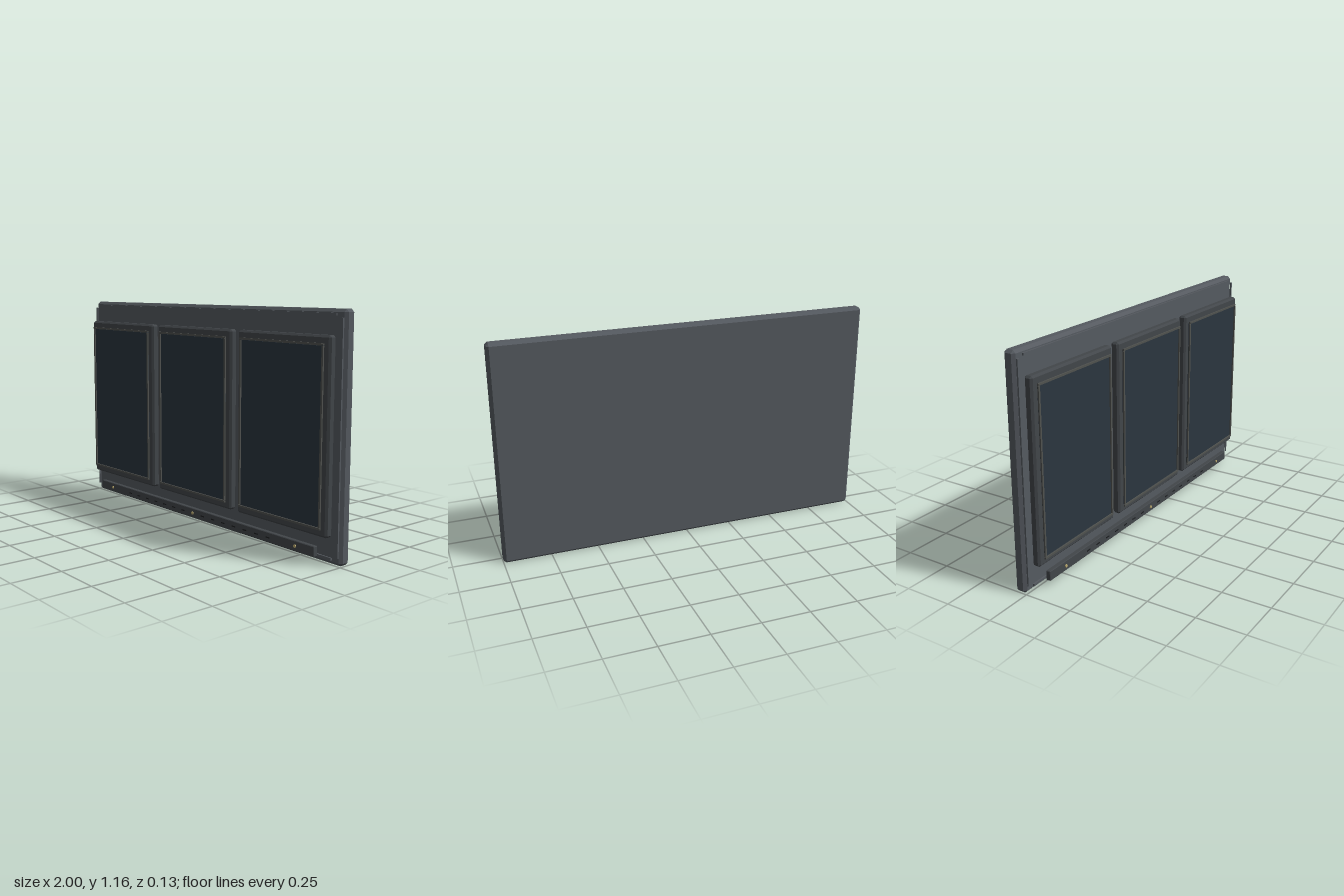
import * as THREE from 'three';
import { ConvexGeometry } from 'three/addons/geometries/ConvexGeometry.js';

const mat = (color) => new THREE.MeshStandardMaterial({ color });
const panelMat = mat(0x555a60), frameMat = mat(0x42464a), screenMat = mat(0x2b353f);
const trimMat = mat(0x50524f), slotMat = mat(0x1c1e20), lampMat = mat(0xb8a870);

// Box with every edge cut at 45 degrees by c
function chamferBox(w, h, d, c) {
  const pts = [];
  for (const x of [-w / 2, w / 2]) for (const y of [-h / 2, h / 2]) for (const z of [-d / 2, d / 2]) {
    const ix = x - Math.sign(x) * c, iy = y - Math.sign(y) * c, iz = z - Math.sign(z) * c;
    pts.push(new THREE.Vector3(x, iy, iz), new THREE.Vector3(ix, y, iz), new THREE.Vector3(ix, iy, z));
  }
  return new ConvexGeometry(pts);
}

// Adds a box spanning the given ranges; c > 0 chamfers it
function block(parent, name, material, [x0, x1], [y0, y1], [z0, z1], c = 0) {
  const size = [x1 - x0, y1 - y0, z1 - z0];
  const geo = c ? chamferBox(...size, c) : new THREE.BoxGeometry(...size);
  const mesh = new THREE.Mesh(geo, material);
  mesh.name = name;
  mesh.position.set((x0 + x1) / 2, (y0 + y1) / 2, (z0 + z1) / 2);
  parent.add(mesh);
  return mesh;
}

// One framed display: chamfered housing, screen and four raised trim rails
function createDisplay(x) {
  const g = new THREE.Group();
  g.name = 'display';
  g.position.x = x;
  block(g, 'displayHousing', frameMat, [-0.303, 0.303], [0.134, 1.046], [0.009, 0.052], 0.01);
  block(g, 'screen', screenMat, [-0.266, 0.266], [0.179, 1.0], [0.05, 0.06]);
  for (const y of [0.175, 1.006])
    block(g, 'horizontalTrim', trimMat, [-0.275, 0.275], [y - 0.005, y + 0.005], [0.06, 0.067]);
  for (const s of [-0.27, 0.27])
    block(g, 'verticalTrim', trimMat, [s - 0.005, s + 0.005], [0.182, 0.999], [0.06, 0.067]);
  return g;
}

export function createModel() {
  const model = new THREE.Group();
  model.name = 'tripleDisplayPanel';

  // Back panel
  block(model, 'backPanel', panelMat, [-1, 1], [0, 1.16], [-0.065, -0.004], 0.014);

  // Thin edge strips just in front of the panel
  for (const y of [0.028, 1.136])
    block(model, 'horizontalEdgeStrip', panelMat, [-0.95, 0.95], [y - 0.006, y + 0.006], [0, 0.008]);
  for (const x of [-0.985, 0.985])
    block(model, 'verticalEdgeStrip', panelMat, [x - 0.005, x + 0.005], [0.04, 1.124], [0, 0.008]);

  // Three displays side by side
  for (const x of [-0.656, 0, 0.656]) model.add(createDisplay(x));

  // Control bar with slots and indicator lamps
  const bar = new THREE.Group();
  bar.name = 'controlBar';
  block(bar, 'barBody', frameMat, [-0.885, 0.885], [0.03, 0.081], [0.027, 0.052], 0.003);
  for (let i = -7; i <= 7; i++) {
    if (i === 0) continue;
    const x = i * 0.083;
    block(bar, 'slot', slotMat, [x - 0.013, x + 0.013], [0.052, 0.058], [0.05, 0.054]);
  }
  for (const x of [-0.765, 0, 0.765]) {
    const lamp = new THREE.Mesh(new THREE.CylinderGeometry(0.008, 0.008, 0.006, 12), lampMat);
    lamp.name = 'indicatorLamp';
    lamp.rotation.x = Math.PI / 2;
    lamp.position.set(x, 0.056, 0.054);
    bar.add(lamp);
  }
  model.add(bar);

  return model;
}
